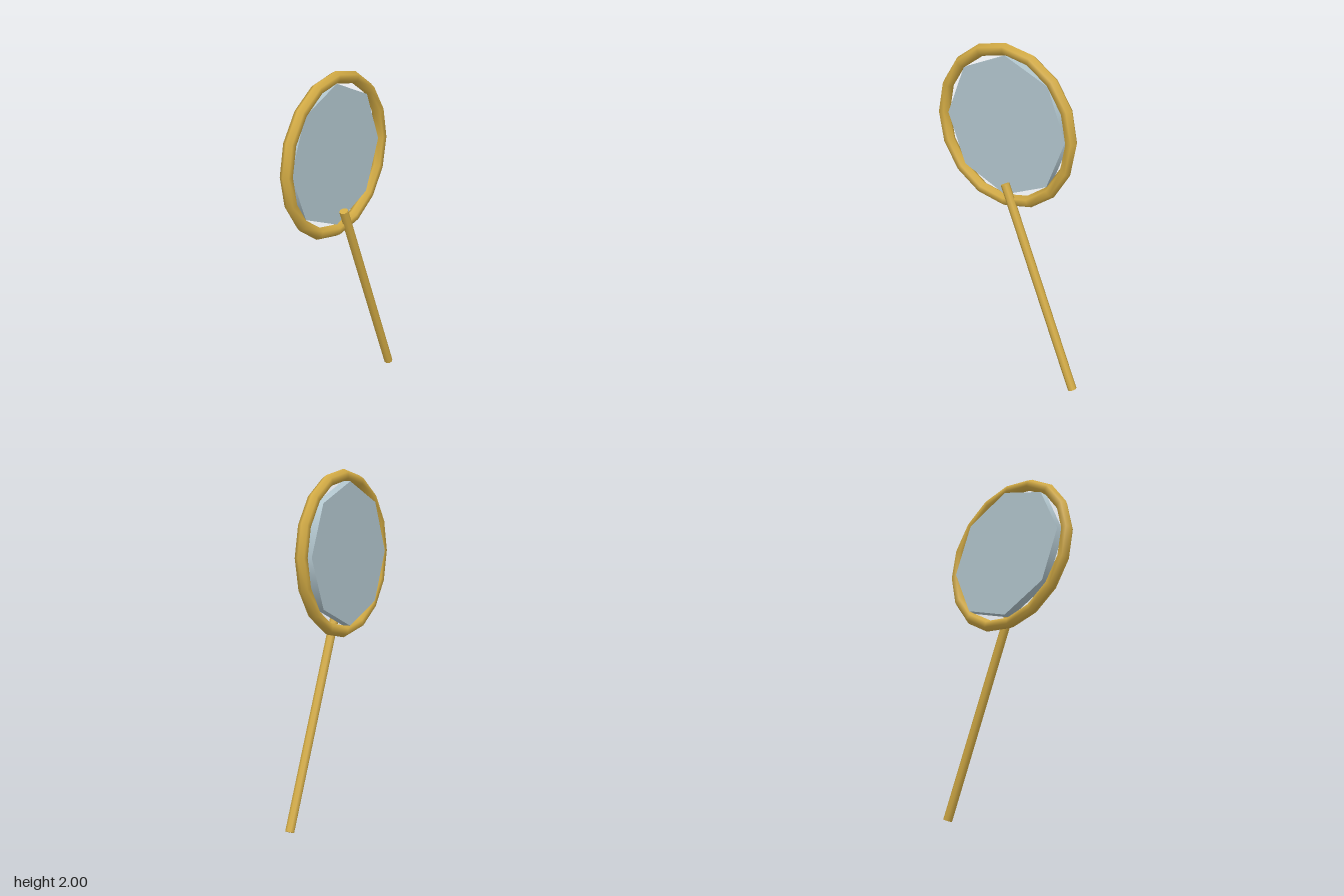
import * as THREE from 'three';

const gold = new THREE.MeshStandardMaterial({ name: 'gold', color: 0xd4ac45 });
const glass = new THREE.MeshStandardMaterial({ name: 'paleGlass', color: 0xb4c8d0 });

export function createModel() {
  const model = new THREE.Group();
  model.name = 'handGlass';

  const add = (name, geometry, material) => {
    const mesh = new THREE.Mesh(geometry, material);
    mesh.name = name;
    model.add(mesh);
    return mesh;
  };

  // Ring frame facing sideways, with a six-sided section
  const frame = add('frame', new THREE.TorusGeometry(0.446, 0.035, 6, 16), gold);
  frame.rotation.y = Math.PI / 2;
  frame.position.set(-0.01, 1.52, 0.033);

  // Eight-sided lens, set toward one side of the frame
  const lens = add('lens', new THREE.CylinderGeometry(0.411, 0.411, 0.052, 8), glass);
  lens.rotation.z = Math.PI / 2;
  lens.position.set(-0.029, 1.52, 0.033);

  // Slanted handle between its two end points
  const top = new THREE.Vector3(0.026, 1.19, 0.008);
  const bottom = new THREE.Vector3(0.026, 0.01, -0.488);
  const axis = top.clone().sub(bottom);
  const handle = add('handle', new THREE.CylinderGeometry(0.026, 0.026, axis.length(), 8), gold);
  handle.position.copy(top).add(bottom).multiplyScalar(0.5);
  handle.quaternion.setFromUnitVectors(new THREE.Vector3(0, 1, 0), axis.normalize());

  return model;
}
